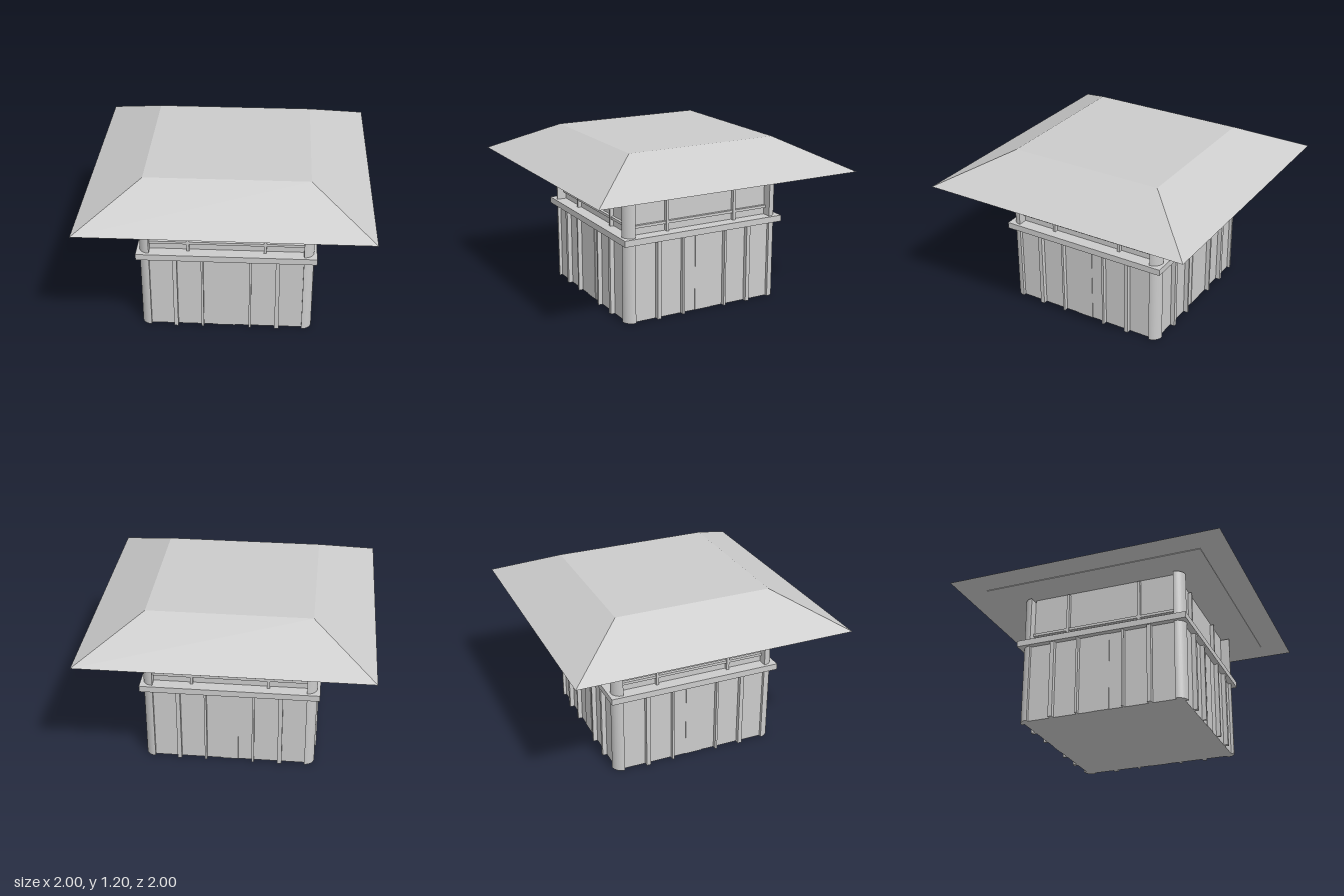
import * as THREE from 'three';
import { toCreasedNormals } from 'three/addons/utils/BufferGeometryUtils.js';

const material = new THREE.MeshStandardMaterial({ color: 0xcccccc });

function add(parent, name, geometry, x = 0, y = 0, z = 0) {
  const mesh = new THREE.Mesh(geometry, material);
  mesh.name = name;
  mesh.position.set(x, y, z);
  parent.add(mesh);
  return mesh;
}

// Box given by its width range centre, bottom, top, back and front
function slab(parent, name, x, width, y0, y1, z0, z1) {
  return add(parent, name, new THREE.BoxGeometry(width, y1 - y0, z1 - z0), x, (y0 + y1) / 2, (z0 + z1) / 2);
}

// Quarter-round corner post, standing on y = 0
function postGeometry(radius, height) {
  const shape = new THREE.Shape();
  shape.moveTo(0, 0);
  shape.lineTo(radius, 0);
  shape.absarc(0, 0, radius, 0, Math.PI / 2, false);
  shape.lineTo(0, 0);
  const geometry = new THREE.ExtrudeGeometry(shape, { depth: height, bevelEnabled: false, curveSegments: 12 });
  geometry.rotateX(-Math.PI / 2);
  return toCreasedNormals(geometry, 0.6);
}

export function createModel() {
  const model = new THREE.Group();
  model.name = 'squareHut';
  const body = new THREE.Group();
  body.name = 'body';
  body.position.set(-0.003, 0, 0.003);
  model.add(body);

  const inner = 0.543;

  // Core: its upper part is the recessed window wall
  slab(body, 'core', 0, inner * 2, 0, 0.975, -inner, inner);
  // Belt around the middle
  slab(body, 'belt', 0, 1.268, 0.57, 0.615, -0.634, 0.634);

  // Four equal sides with one corner post each
  const post = postGeometry(0.07, 0.955);
  for (let i = 0; i < 4; i++) {
    const side = new THREE.Group();
    side.name = 'side' + (i + 1);
    side.rotation.y = i * Math.PI / 2;
    body.add(side);

    add(side, 'cornerPost', post, inner, 0, -inner);

    // Lower planked wall with a middle panel and battens
    slab(side, 'lowerWall', 0, inner * 2, 0, 0.57, inner - 0.01, 0.59);
    slab(side, 'middlePanel', 0, 0.125, 0, 0.57, 0.58, 0.594);
    for (const s of [-1, 1]) {
      slab(side, 'outerBatten', s * 0.363, 0.03, 0, 0.57, 0.58, 0.622);
      slab(side, 'innerBatten', s * 0.17, 0.016, 0, 0.57, 0.58, 0.622);
      // Upper window mullions
      slab(side, 'mullion', s * 0.271, 0.02, 0.615, 0.955, inner - 0.01, 0.57);
    }
    slab(side, 'windowRail', 0, inner * 2, 0.667, 0.686, inner - 0.01, 0.565);
  }

  // Flat-topped hipped roof
  const roofGeometry = new THREE.CylinderGeometry(0.57 * Math.SQRT2, Math.SQRT2, 0.22, 4, 1).toNonIndexed();
  roofGeometry.rotateY(Math.PI / 4);
  roofGeometry.computeVertexNormals();
  add(model, 'roof', roofGeometry, 0, 1.085, 0);
  slab(model, 'roofSoffit', 0, 1.615, 0.97, 0.976, -0.807, 0.807);

  return model;
}
